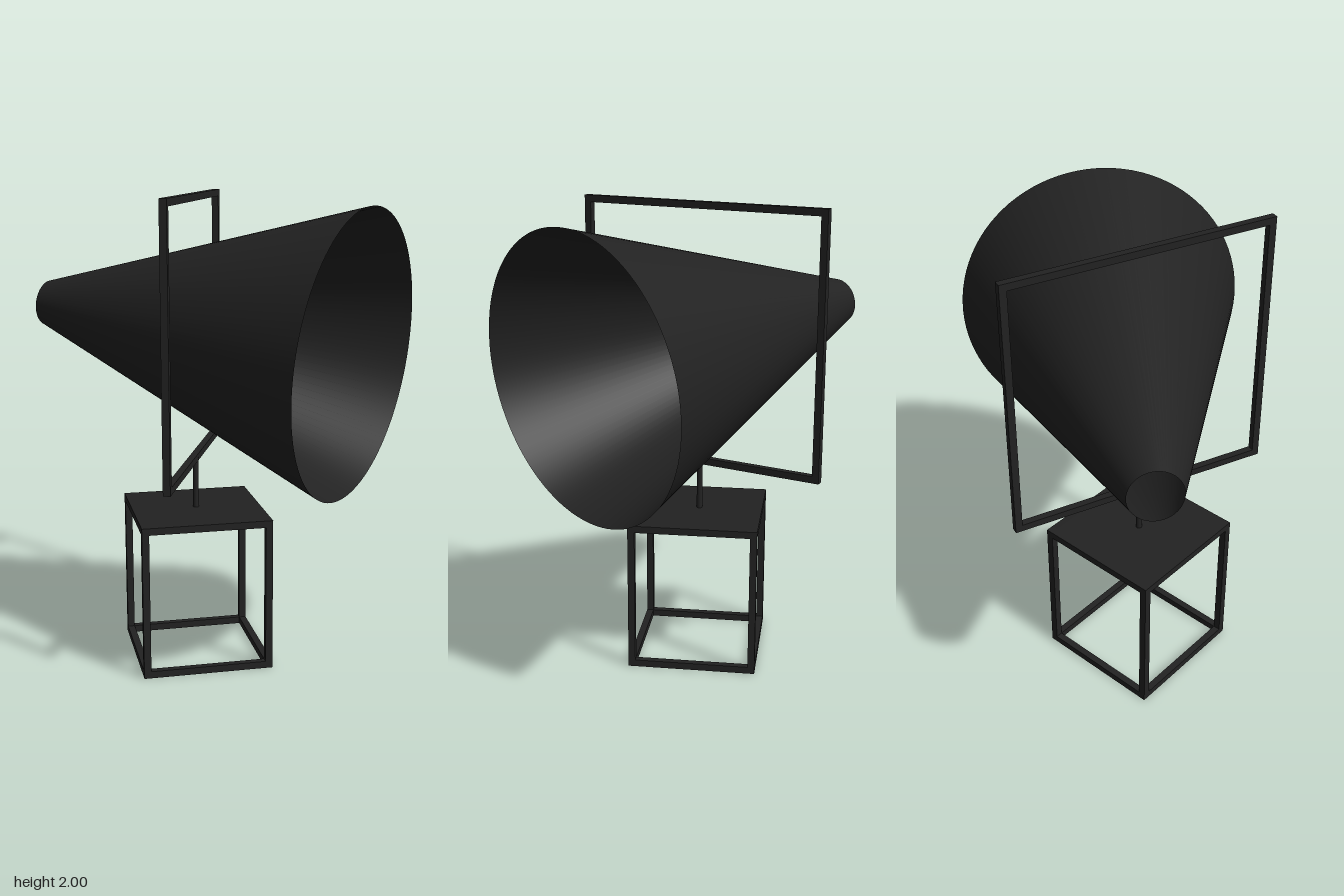
import * as THREE from 'three';

const dark = new THREE.MeshStandardMaterial({ color: 0x222222 });
const darkThin = new THREE.MeshStandardMaterial({ color: 0x222222, side: THREE.DoubleSide });

function add(parent, name, geometry, x, y, z, material = dark) {
  const mesh = new THREE.Mesh(geometry, material);
  mesh.name = name;
  mesh.position.set(x, y, z);
  parent.add(mesh);
  return mesh;
}

export function createModel() {
  const model = new THREE.Group();
  model.name = 'hornOnStand';
  const cx = -0.172, cz = -0.114, bar = 0.03;

  // Open cube stand
  const stand = new THREE.Group();
  stand.name = 'stand';
  stand.position.set(cx, 0, cz);
  model.add(stand);
  const w = 0.555, h = 0.66, e = (w - bar) / 2;
  for (const sx of [-1, 1]) {
    for (const sz of [-1, 1]) {
      add(stand, 'standPost', new THREE.BoxGeometry(bar, h, bar), sx * e, h / 2, sz * e);
    }
  }
  for (const y of [bar / 2, h - bar / 2]) {
    for (const s of [-1, 1]) {
      add(stand, 'standRailX', new THREE.BoxGeometry(w - 2 * bar, bar, bar), 0, y, s * e);
      add(stand, 'standRailZ', new THREE.BoxGeometry(bar, bar, w - 2 * bar), s * e, y, 0);
    }
  }
  add(stand, 'standTop', new THREE.BoxGeometry(w - 2 * bar, 0.01, w - 2 * bar), 0, h - 0.005, 0);

  // Short pole between the stand and the frame
  add(model, 'pole', new THREE.CylinderGeometry(0.0125, 0.0125, 0.245, 24), cx, 0.7575, cz);

  // Upright square frame, turned about the pole
  const size = 1.135, half = size / 2;
  const outline = new THREE.Shape([
    new THREE.Vector2(-half, -half), new THREE.Vector2(half, -half),
    new THREE.Vector2(half, half), new THREE.Vector2(-half, half)
  ]);
  const inner = half - bar;
  outline.holes.push(new THREE.Path([
    new THREE.Vector2(-inner, -inner), new THREE.Vector2(-inner, inner),
    new THREE.Vector2(inner, inner), new THREE.Vector2(inner, -inner)
  ]));
  const frameGeometry = new THREE.ExtrudeGeometry(outline, { depth: bar, bevelEnabled: false });
  frameGeometry.translate(0, 0, -bar / 2);
  const frame = add(model, 'frame', frameGeometry, cx - 0.005, 2 - half, cz);
  frame.rotation.y = THREE.MathUtils.degToRad(68.6);

  // Horn: thin cone open at both ends, mouth dipping slightly
  const mouth = new THREE.Vector3(0.415, 1.365, 0.298);
  const throat = new THREE.Vector3(-0.737, 1.497, -0.686);
  const axis = mouth.clone().sub(throat);
  const middle = mouth.clone().add(throat).multiplyScalar(0.5);
  const horn = add(model, 'horn',
    new THREE.CylinderGeometry(0.6, 0.101, axis.length(), 96, 1, true),
    middle.x, middle.y, middle.z, darkThin);
  horn.quaternion.setFromUnitVectors(new THREE.Vector3(0, 1, 0), axis.normalize());

  return model;
}
